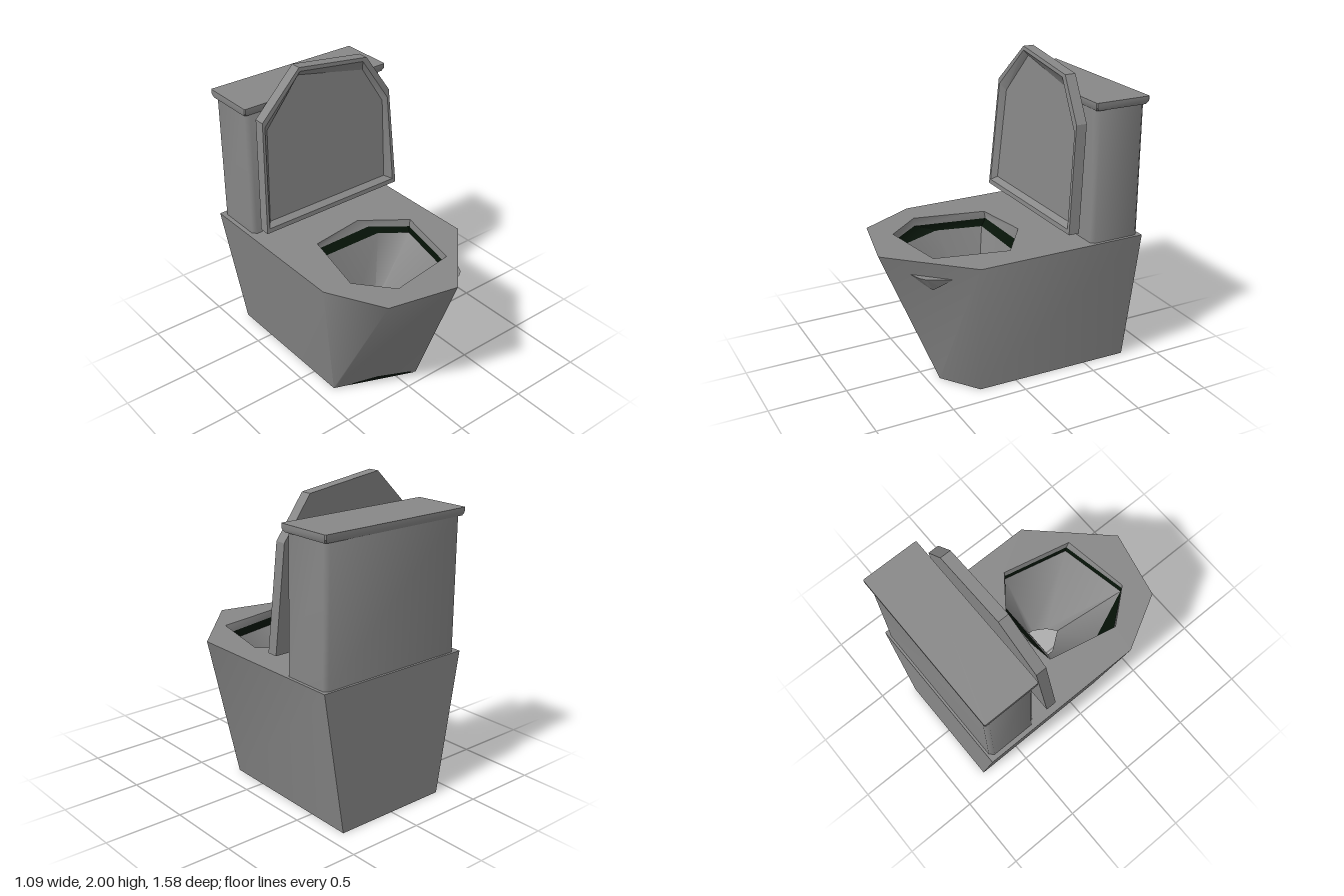
import * as THREE from 'three';
import { toCreasedNormals } from 'three/addons/utils/BufferGeometryUtils.js';
import { ConvexGeometry } from 'three/addons/geometries/ConvexGeometry.js';

const ceramic = new THREE.MeshStandardMaterial({ color: 0x888888 });
ceramic.name = 'grey ceramic';
const shade = new THREE.MeshStandardMaterial({ color: 0x061408 });
shade.name = 'dark green';

// Skin over rings of [x, y, z] points, with optional caps fanned from the centre
function loft(rings, { start = false, end = false, crease = 1.0 } = {}) {
  const pos = [];
  const tri = (...pts) => pts.forEach((p) => pos.push(...p));
  const n = rings[0].length;
  for (let r = 0; r + 1 < rings.length; r++) {
    const a = rings[r], b = rings[r + 1];
    for (let i = 0; i < n; i++) {
      const j = (i + 1) % n;
      tri(a[i], a[j], b[j]);
      tri(a[i], b[j], b[i]);
    }
  }
  const cap = (ring, flip) => {
    const c = [0, 1, 2].map((k) => ring.reduce((s, p) => s + p[k], 0) / n);
    ring.forEach((p, i) => {
      const q = ring[(i + 1) % n];
      if (flip) tri(c, q, p);
      else tri(c, p, q);
    });
  };
  if (start) cap(rings[0], true);
  if (end) cap(rings[rings.length - 1], false);
  const g = new THREE.BufferGeometry();
  g.setAttribute('position', new THREE.Float32BufferAttribute(pos, 3));
  return toCreasedNormals(g, crease);
}

// Plan outline [x, z] raised to height y
const at = (outline, y) => outline.map(([x, z]) => [x, y, z]);

// Rectangle with cut corners, anticlockwise from above
const cutRect = (x0, x1, z0, z1, c) => [
  [x0 + c, z0], [x0, z0 + c], [x0, z1 - c], [x0 + c, z1],
  [x1 - c, z1], [x1, z1 - c], [x1, z0 + c], [x1 - c, z0],
];

export function createModel() {
  const model = new THREE.Group();
  model.name = 'toilet';
  const add = (name, geometry, material = ceramic) => {
    const mesh = new THREE.Mesh(geometry, material);
    mesh.name = name;
    model.add(mesh);
  };

  // Tapered pedestal
  const foot = [[-0.39, -0.79], [-0.39, 0.21], [-0.38, 0.215], [0.13, 0.42], [0.37, 0.25], [0.39, -0.79]];
  const deck = [[-0.545, -0.79], [-0.545, 0.33], [-0.35, 0.69], [0.1, 0.79], [0.54, 0.33], [0.54, -0.79]];
  add('pedestal', loft([at(foot, 0), at(deck, 0.91)], { start: true }));

  // Flat deck with the bowl opening
  const opening = [[-0.265, -0.1], [-0.365, 0.36], [-0.18, 0.58], [0.27, 0.51], [0.375, 0.05], [0.1, -0.155]];
  const toPlan = ([x, z]) => new THREE.Vector2(x, -z);
  const deckShape = new THREE.Shape(deck.map(toPlan));
  deckShape.holes.push(new THREE.Path(opening.map(toPlan)));
  add('deck', new THREE.ShapeGeometry(deckShape).rotateX(-Math.PI / 2).translate(0, 0.91, 0));

  // Rim wall, shadow gap and bowl, from top to drain
  const rimLow = at([[-0.265, -0.11], [-0.355, 0.36], [-0.18, 0.58], [0.27, 0.49], [0.37, 0.05], [0.16, -0.115]], 0.86);
  const bowlTop = at([[-0.26, -0.08], [-0.33, 0.22], [-0.18, 0.575], [0.27, 0.485], [0.37, 0.05], [0.21, -0.075]], 0.81);
  const drain = at([[-0.1, 0.03], [-0.1, 0.07], [-0.01, 0.19], [0.05, 0.14], [0.1, 0.06], [0.1, 0.03]], 0.35);
  add('rimWall', loft([at(opening, 0.91), rimLow]));
  add('rimGap', loft([rimLow, bowlTop]), shade);
  add('bowl', loft([bowlTop, drain], { crease: 1.2 }));

  // Water tank and its cover
  const tank = cutRect(-0.515, 0.52, -0.775, -0.435, 0.025);
  add('tank', loft([at(tank, 0.91), at(tank, 1.76)], { start: true, end: true }));
  const coverLow = cutRect(-0.53, 0.53, -0.78, -0.43, 0.01);
  const coverTop = cutRect(-0.535, 0.54, -0.79, -0.42, 0.006);
  add('tankCover', loft([at(coverLow, 1.75), at(coverTop, 1.77), at(coverTop, 1.8)],
    { start: true, end: true, crease: 0.5 }));

  // Raised seat lid: leaning slab with a shallow dished front
  const lidOuter = [[-0.52, 1], [0.52, 1], [0.49, 1.67], [0.32, 1.93], [-0.19, 2], [-0.48, 1.73]];
  const lidInner = [[-0.5, 1.03], [0.495, 1.03], [0.475, 1.62], [0.29, 1.91], [-0.185, 1.975], [-0.465, 1.7]];
  const lidFloor = [[-0.47, 1.055], [0.45, 1.055], [0.46, 1.59], [0.31, 1.84], [-0.18, 1.94], [-0.43, 1.66]];
  const lean = (outline, depth) => outline.map(([x, y]) => [x, y, -0.27 - 0.07 * (y - 1) - depth]);
  add('seatLid', loft([lean(lidOuter, 0.07), lean(lidOuter, 0), lean(lidInner, 0), lean(lidFloor, 0.035)],
    { start: true, end: true, crease: 0.5 }));

  // Small wedge handle on the front left
  add('handle', new ConvexGeometry([
    [0.2, 0.81, 0.64], [0.4, 0.81, 0.44], [0.33, 0.81, 0.58], [0.29, 0.81, 0.61],
    [0.24, 0.755, 0.58], [0.34, 0.755, 0.5], [0.3, 0.72, 0.53],
  ].map((p) => new THREE.Vector3(...p))));

  // Dark sliver at the toe of the pedestal
  const sliver = [[-0.3, 0.003], [0.11, 0.003], [0.08, 0.025], [-0.13, 0.045], [-0.27, 0.02]]
    .map(([x, y]) => [x, y, 0.373 + 0.408 * x + 0.43 * y]);
  add('toeGap', loft([sliver], { end: true }), shade);

  return model;
}
